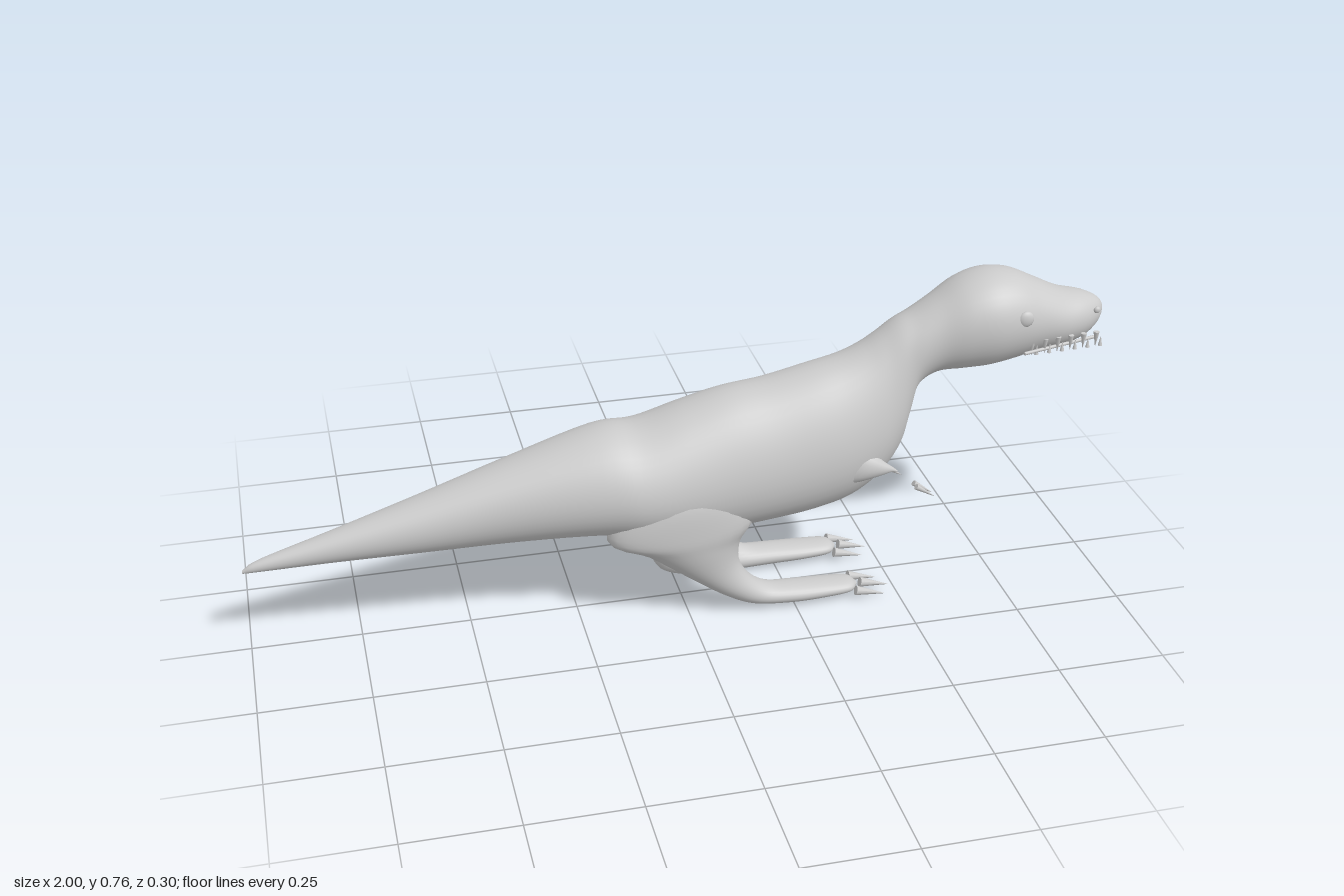
import * as THREE from 'three';

const material = new THREE.MeshStandardMaterial({ color: 0xcccccc, side: THREE.DoubleSide });

// Smooth skin through oval sections: [lowX, lowY, highX, highY, halfWidth, centreZ, bottomHeaviness]
function loft(sections, steps = 5, sides = 40) {
  const curve = f => new THREE.CatmullRomCurve3(sections.map(f), false, 'catmullrom', 0.5);
  const low = curve(s => new THREE.Vector3(s[0], s[1], s[4]));
  const high = curve(s => new THREE.Vector3(s[2], s[3], s[5]));
  const heavy = curve(s => new THREE.Vector3(s[6] || 0, 0, 0));
  const rings = (sections.length - 1) * steps;
  const pos = [], index = [];
  for (let i = 0; i <= rings; i++) {
    const a = low.getPoint(i / rings), b = high.getPoint(i / rings), k = heavy.getPoint(i / rings).x;
    for (let j = 0; j < sides; j++) {
      const t = (j / sides) * Math.PI * 2, c = Math.cos(t), s = Math.sin(t);
      const w = Math.sign(s) * Math.pow(Math.abs(s), 0.9);
      pos.push(
        (a.x + b.x) / 2 + (b.x - a.x) / 2 * c,
        (a.y + b.y) / 2 + (b.y - a.y) / 2 * c,
        b.z + Math.max(a.z, 0.001) * w * (1 - k * c));
      if (i < rings) {
        const p = i * sides + j, q = i * sides + (j + 1) % sides;
        index.push(p, q, p + sides, q, q + sides, p + sides);
      }
    }
  }
  const g = new THREE.BufferGeometry();
  g.setAttribute('position', new THREE.Float32BufferAttribute(pos, 3));
  g.setIndex(index);
  g.computeVertexNormals();
  return g;
}

function add(parent, name, geometry) {
  const mesh = new THREE.Mesh(geometry, material);
  mesh.name = name;
  parent.add(mesh);
  return mesh;
}

// Tapered spike or rod between two points
function spike(parent, name, from, to, r0, r1 = 0.0005) {
  const a = new THREE.Vector3(...from), d = new THREE.Vector3(...to).sub(a);
  const mesh = add(parent, name, new THREE.CylinderGeometry(r1, r0, d.length(), 10));
  mesh.position.copy(a).addScaledVector(d, 0.5);
  mesh.quaternion.setFromUnitVectors(new THREE.Vector3(0, 1, 0), d.normalize());
}

function ball(parent, name, r, x, y, z, flat) {
  const mesh = add(parent, name, new THREE.SphereGeometry(r, 16, 12));
  mesh.position.set(x, y, z);
  mesh.scale.z = flat;
}

export function createModel() {
  const model = new THREE.Group();
  model.name = 'dinosaur';

  // Tail, torso, neck and head in one skin: [x, bottom, top, halfWidth, heaviness]
  const tailAndTorso = [
    [-1, 0.205, 0.213, 0.003, 0], [-0.96, 0.207, 0.235, 0.014, 0], [-0.8, 0.212, 0.283, 0.036, 0],
    [-0.6, 0.215, 0.345, 0.064, 0], [-0.4, 0.218, 0.41, 0.092, 0], [-0.2, 0.22, 0.47, 0.13, 0.1],
    [-0.1, 0.212, 0.474, 0.144, 0.12], [0, 0.2, 0.505, 0.144, 0.14], [0.1, 0.2, 0.533, 0.14, 0.15],
    [0.2, 0.208, 0.547, 0.137, 0.15], [0.3, 0.22, 0.57, 0.133, 0.15],
  ].map(([x, b, t, w, k]) => [x, b, x, t, w, 0, k]);
  // Chest, neck and head sections lean so they stay square to the neck
  const neckAndHead = [
    [0.39, 0.245, 0.37, 0.588, 0.125, 0, 0.18], [0.46, 0.292, 0.42, 0.61, 0.112, 0, 0.18],
    [0.51, 0.355, 0.46, 0.636, 0.094, 0, 0.1], [0.532, 0.43, 0.5, 0.664, 0.08, 0, 0],
    [0.545, 0.5, 0.54, 0.683, 0.077, 0, 0], [0.59, 0.533, 0.59, 0.713, 0.082, 0, 0],
    [0.65, 0.538, 0.65, 0.75, 0.1, 0, 0], [0.71, 0.541, 0.71, 0.766, 0.109, 0, 0],
    [0.77, 0.55, 0.77, 0.76, 0.103, 0, 0], [0.83, 0.563, 0.83, 0.733, 0.09, 0, 0],
    [0.89, 0.57, 0.89, 0.704, 0.078, 0, 0], [0.94, 0.582, 0.94, 0.692, 0.062, 0, 0],
    [0.975, 0.603, 0.975, 0.679, 0.04, 0, 0], [0.993, 0.625, 0.993, 0.665, 0.02, 0, 0],
    [1, 0.644, 1, 0.65, 0.003, 0, 0],
  ];
  add(model, 'body', loft([...tailAndTorso, ...neckAndHead]));

  // Legs: shared thigh and foot, with a raised ankle on the left and a planted heel on the right
  const thigh = [[-0.08, 0.38, 0.06, 0.4, 0.03, 0.08], [-0.15, 0.31, 0.12, 0.33, 0.062, 0.083],
    [-0.19, 0.225, 0.15, 0.25, 0.071, 0.081]];
  const ankles = {
    left: [[-0.11, 0.185, 0.12, 0.195, 0.063, 0.083], [0, 0.105, 0.117, 0.14, 0.046, 0.087],
      [0.08, 0.05, 0.145, 0.09, 0.039, 0.088], [0.15, 0.017, 0.19, 0.06, 0.036, 0.087]],
    right: [[-0.165, 0.165, 0.12, 0.195, 0.063, 0.083], [-0.07, 0.115, 0.117, 0.14, 0.046, 0.087],
      [-0.035, 0.03, 0.14, 0.09, 0.039, 0.088], [0.05, 0.005, 0.18, 0.06, 0.038, 0.087]],
  };
  const foot = [[0.25, 0.008, 0.25, 0.053, 0.038, 0.087], [0.33, 0.011, 0.33, 0.049, 0.037, 0.087],
    [0.385, 0.016, 0.385, 0.045, 0.031, 0.087], [0.405, 0.028, 0.405, 0.033, 0.008, 0.087]];

  for (const [side, m] of [['left', 1], ['right', -1]]) {
    // The model faces +x, so the pair lies at +z and -z
    const half = new THREE.Group();
    half.name = m > 0 ? 'nearSide' : 'farSide';
    model.add(half);

    const leg = [...thigh, ...ankles[side], ...foot].map(s => [...s.slice(0, 5), s[5] * m]);
    add(half, 'leg', loft(leg, 5, 28));

    // Three toe claws
    for (const o of [-0.033, 0, 0.033]) {
      const reach = o === 0 ? 0.02 : 0;
      spike(half, 'toeClaw', [0.395 + reach, 0.028, m * (0.087 + o)], [0.465 + reach, 0.012, m * (0.087 + o * 1.1)], 0.012);
    }

    // Small arm stub with detached finger claws
    add(half, 'arm', loft([
      [0.33, 0.3, 0.37, 0.42, 0.03, m * 0.085], [0.385, 0.315, 0.42, 0.39, 0.03, m * 0.1],
      [0.435, 0.33, 0.45, 0.365, 0.016, m * 0.113], [0.465, 0.338, 0.47, 0.35, 0.007, m * 0.116],
      [0.48, 0.336, 0.482, 0.34, 0.002, m * 0.118]], 4, 16));
    spike(half, 'wristClaw', [0.462, 0.345, m * 0.113], [0.495, 0.322, m * 0.108], 0.006);
    for (const z of [0.125, 0.143]) spike(half, 'fingerClaw', [0.52, 0.306, m * z], [0.565, 0.276, m * z], 0.007);

    // Face
    ball(half, 'eye', 0.019, 0.773, 0.68, m * 0.097, 0.5);
    ball(half, 'nostril', 0.008, 0.965, 0.663, m * 0.053, 0.7);
    spike(half, 'mouthLine', [0.78, 0.59, m * 0.09], [0.97, 0.598, m * 0.056], 0.004, 0.004);
    for (let i = 0; i < 6; i++) {
      const x = 0.8 + i * 0.032, z = m * (0.083 - i * 0.002);
      spike(half, 'upperTooth', [x, 0.618, z], [x, 0.582, z], 0.007);
      spike(half, 'lowerTooth', [x + 0.012, 0.582, z], [x + 0.012, 0.604, z], 0.005);
    }
  }
  return model;
}
